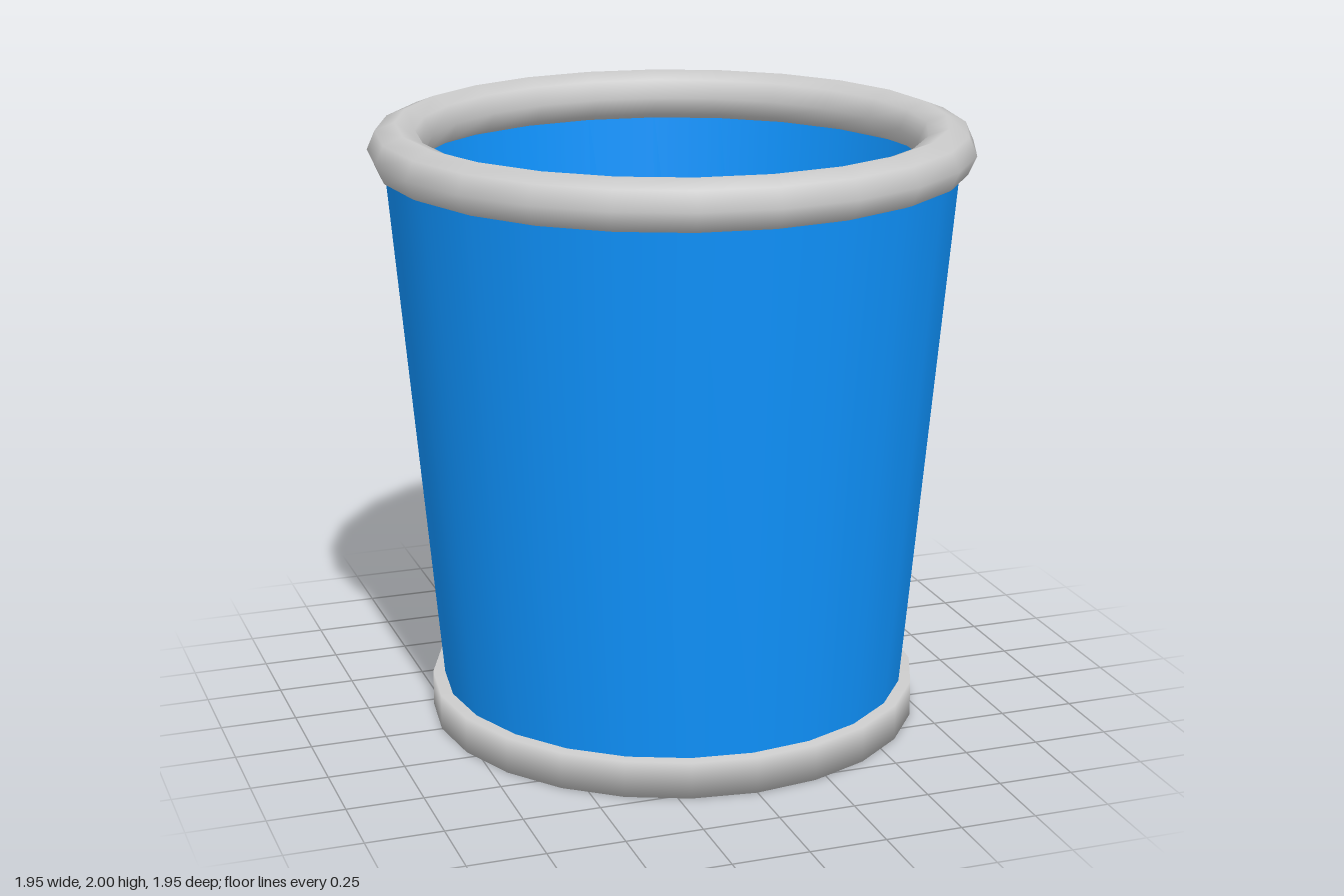
import * as THREE from 'three';

const SIDES = 24;
const profile = (pairs) => pairs.map(([r, y]) => new THREE.Vector2(r, y));

export function createModel() {
  const model = new THREE.Group();
  model.name = 'bin';
  const grey = new THREE.MeshStandardMaterial({ color: 0xcccccc });
  const blue = new THREE.MeshStandardMaterial({ color: 0x0f94ff });

  const add = (name, geometry, material) => {
    const mesh = new THREE.Mesh(geometry, material);
    mesh.name = name;
    model.add(mesh);
    return mesh;
  };

  // Solid foot disc with softly shaded edges; its top is the floor of the bin
  add('base', new THREE.LatheGeometry(
    profile([[0, 0], [0.81, 0], [0.81, 0.12], [0, 0.12]]), SIDES), grey);

  // Tapered wall with a thin inner skin, tucked into the rim
  add('outerWall', new THREE.LatheGeometry(
    profile([[0.77, 0.12], [0.922, 1.86]]), SIDES), blue);
  add('innerWall', new THREE.LatheGeometry(
    profile([[0.893, 1.86], [0.75, 0.12]]), SIDES), blue);

  // Rolled rim, octagonal in section
  const ring = new THREE.TorusGeometry(0.885, 0.09, 8, SIDES);
  ring.rotateX(Math.PI / 2);
  ring.scale(1, 0.085 / 0.09, 1);
  add('rim', ring, grey).position.y = 1.915;

  return model;
}
